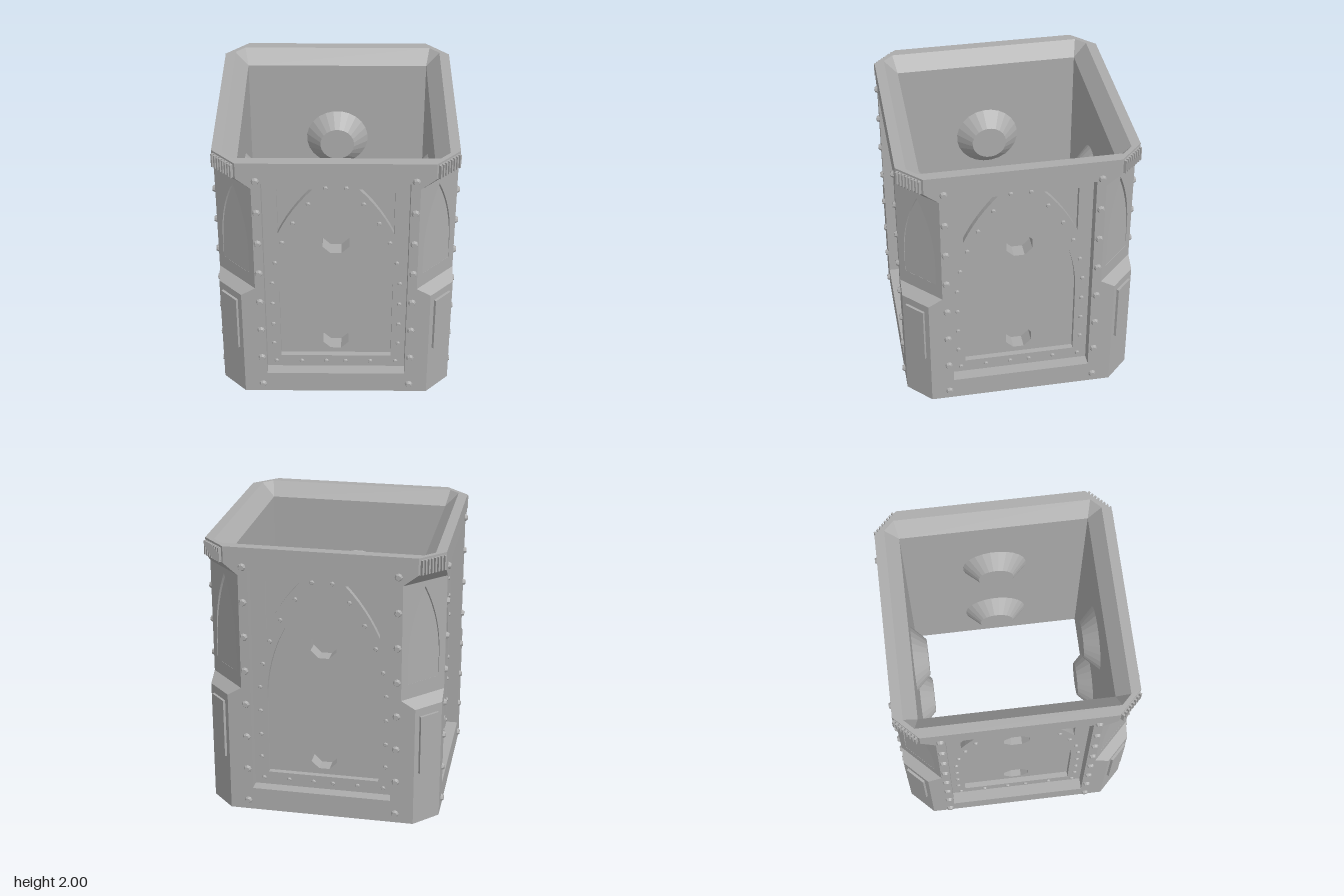
import * as THREE from 'three';

const stone = new THREE.MeshStandardMaterial({ color: 0xacacac });
stone.name = 'stone grey';

const OUT = 0.83, IN = 0.665;        // outer and inner wall faces
const TRACERY = 0.745, PANEL = 0.705; // stepped recess levels
const HOLES = [0.405, 1.27];          // porthole heights

function add(parent, name, geo, x = 0, y = 0, z = 0) {
  const flat = geo.index ? geo.toNonIndexed() : geo;
  flat.computeVertexNormals();
  const mesh = new THREE.Mesh(flat, stone);
  mesh.name = name;
  mesh.position.set(x, y, z);
  parent.add(mesh);
  return mesh;
}

const poly = (pts, Type = THREE.Shape) => new Type(pts.map(p => new THREE.Vector2(p[0], p[1])));
const rect = (w, y0, y1, Type) => poly([[-w, y0], [w, y0], [w, y1], [-w, y1]], Type);
const extrude = (shape, depth) => new THREE.ExtrudeGeometry(shape, { depth, bevelEnabled: false });

// Points of a pointed arch, straight up to the spring line
function lancet(w, base, spring, apex, n = 10) {
  const h = apex - spring, R = (w * w + h * h) / (2 * w), end = Math.asin(h / R);
  const right = [[w, base]];
  for (let i = 0; i <= n; i++) {
    const a = end * i / n;
    right.push([w - R + R * Math.cos(a), spring + R * Math.sin(a)]);
  }
  right[right.length - 1] = [0, apex];
  return [...right, ...right.slice(0, -1).reverse().map(([x, y]) => [-x, y])];
}

function octagonHole(cy, r) {
  const pts = [];
  for (let i = 0; i < 8; i++) {
    const a = Math.PI / 8 + i * Math.PI / 4;
    pts.push([r * Math.cos(a), cy + r * Math.sin(a)]);
  }
  return poly(pts, THREE.Path);
}

// Chamfered square cross-section
function ring(h, c, y) {
  const pts = [];
  let a = [h - c, h], b = [h, h - c];
  for (let q = 0; q < 4; q++) {
    pts.push([a[0], y, a[1]], [b[0], y, b[1]]);
    a = [a[1], -a[0]];
    b = [b[1], -b[0]];
  }
  return pts;
}

// Joins pairs of cross-sections, either all round or at the corners only
function shellGeometry() {
  const low = 0.165, deep = 0.265;
  const foot = ring(OUT, low, 0), rim = ring(OUT, low, 1.88), top = ring(OUT, low, 2), lip = ring(0.76, 0.07, 2);
  const ledge = ring(OUT, low, 0.9), niche = ring(OUT, deep, 0.96), nicheTop = ring(OUT, deep, 1.8);
  const strips = [
    [foot, ledge, 2], [ledge, niche, 2], [nicheTop, rim, 2],
    [rim, top, 1], [top, lip, 1], [lip, ring(IN, 0, 1.9), 1], [ring(IN, 0, 0), foot, 1],
  ];
  const pos = [];
  for (const [lo, hi, step] of strips) {
    for (let i = 0; i < 8; i += step) {
      const j = (i + 1) % 8;
      pos.push(...lo[i], ...lo[j], ...hi[j], ...lo[i], ...hi[j], ...hi[i]);
    }
  }
  const geo = new THREE.BufferGeometry();
  geo.setAttribute('position', new THREE.Float32BufferAttribute(pos, 3));
  return geo;
}

function rivet(parent, name, x, y, z, r) {
  const geo = new THREE.CylinderGeometry(r * 0.65, r, r * 0.7, 8).rotateX(Math.PI / 2);
  add(parent, name, geo, x, y, z + r * 0.35);
}

function makeWall() {
  const wall = new THREE.Group();
  wall.name = 'wall';

  // Outer frame, narrower beside the corner niches
  const side = [[0.665, 0], [0.665, 0.9], [0.565, 0.96], [0.565, 1.8], [0.665, 1.88]];
  const frame = poly([...side, ...side.map(([x, y]) => [-x, y]).reverse()]);
  frame.holes.push(rect(0.5, 0.17, 1.84, THREE.Path));
  add(wall, 'wallFrame', extrude(frame, OUT - TRACERY + 0.01), 0, 0, TRACERY - 0.01);

  // Arched tracery with open spandrels
  const w = 0.4, spring = 0.85, apex = 1.74, h = apex - spring;
  const R = (w * w + h * h) / (2 * w), cx = w - R;
  const tracery = rect(0.5, 0.17, 1.84);
  tracery.holes.push(poly(lancet(w, 0.27, spring, apex, 14), THREE.Path));
  for (const s of [-1, 1]) {
    const Ro = R + 0.11, a0 = Math.acos((w - cx) / Ro), a1 = Math.asin(h / Ro);
    const pts = [[s * w, apex]];
    for (let i = 0; i <= 6; i++) {
      const a = a0 + (a1 - a0) * i / 6;
      pts.push([s * (cx + Ro * Math.cos(a)), spring + Ro * Math.sin(a)]);
    }
    tracery.holes.push(poly(pts, THREE.Path));
  }
  add(wall, 'archTracery', extrude(tracery, TRACERY - PANEL), 0, 0, PANEL);

  // Recessed panel and inner wall, both pierced by the portholes
  const panel = rect(0.5, 0.17, 1.84), inner = rect(IN, 0, 1.9);
  for (const y of HOLES) {
    panel.holes.push(octagonHole(y, 0.1));
    inner.holes.push(octagonHole(y, 0.1));
  }
  add(wall, 'recessedPanel', new THREE.ShapeGeometry(panel), 0, 0, PANEL);
  add(wall, 'innerWall', new THREE.ShapeGeometry(inner).rotateY(Math.PI), 0, 0, IN);

  // Blind portholes with conical bosses on the inside
  const lathe = (pts, n) => new THREE.LatheGeometry(pts.map(p => new THREE.Vector2(...p)), n, Math.PI / 8).rotateX(Math.PI / 2);
  for (const y of HOLES) {
    add(wall, 'porthole', lathe([[0.1, PANEL], [0.1, 0.6], [0, 0.6]], 8), 0, y);
    add(wall, 'innerBoss', lathe([[0, 0.56], [0.13, 0.56], [0.235, IN]], 24), 0, y);
  }

  // Rivets on the frame and along the tracery
  for (const s of [-1, 1]) {
    for (let i = 0; i < 8; i++) rivet(wall, 'frameRivet', s * 0.535, 0.07 + i * 0.2557, OUT, 0.028);
    for (const y of [1.75, 1.62, 1.46, 1.295, 1.12]) {
      const r = R + 0.055;
      rivet(wall, 'traceryRivet', s * (cx + Math.sqrt(r * r - (y - spring) ** 2)), y, TRACERY, 0.017);
    }
    for (const y of [0.94, 0.755, 0.57, 0.39]) rivet(wall, 'traceryRivet', s * 0.45, y, TRACERY, 0.017);
    for (const x of [0.07, 0.25, 0.435]) rivet(wall, 'traceryRivet', s * x, 0.22, TRACERY, 0.017);
  }
  return wall;
}

function makeCorner() {
  const corner = new THREE.Group();
  corner.name = 'corner';
  const deepFace = (2 * OUT - 0.265) / Math.SQRT2, face = (2 * OUT - 0.165) / Math.SQRT2;

  // Upper niche with a lancet sinking towards its top
  const plate = rect(0.265 / Math.SQRT2, 0.96, 1.8);
  plate.holes.push(poly(lancet(0.135, 1.07, 1.25, 1.76), THREE.Path));
  add(corner, 'nichePlate', extrude(plate, 0.022), 0, 0, deepFace - 0.022);
  const floor = add(corner, 'lancetFloor', new THREE.PlaneGeometry(0.29, 0.71), 0, 1.415, deepFace - 0.011);
  floor.rotation.x = -Math.atan2(0.02, 0.7);

  // Raised lower plate
  add(corner, 'lowerPlate', new THREE.BoxGeometry(0.156, 0.44, 0.04), 0, 0.62, face - 0.002);

  // Ribbed block under the rim
  add(corner, 'ribBacking', new THREE.BoxGeometry(0.2, 0.1, 0.02), 0, 1.935, face - 0.005);
  for (let i = 0; i < 8; i++) {
    add(corner, 'rib', new THREE.BoxGeometry(0.013, 0.1, 0.03), -0.0935 + i * 0.0267, 1.935, face + 0.007);
  }
  return corner;
}

export function createModel() {
  const model = new THREE.Group();
  model.name = 'towerSection';
  add(model, 'shell', shellGeometry());
  for (let q = 0; q < 4; q++) {
    const wall = makeWall(), corner = makeCorner();
    wall.rotation.y = q * Math.PI / 2;
    corner.rotation.y = q * Math.PI / 2 + Math.PI / 4;
    model.add(wall, corner);
  }
  return model;
}
